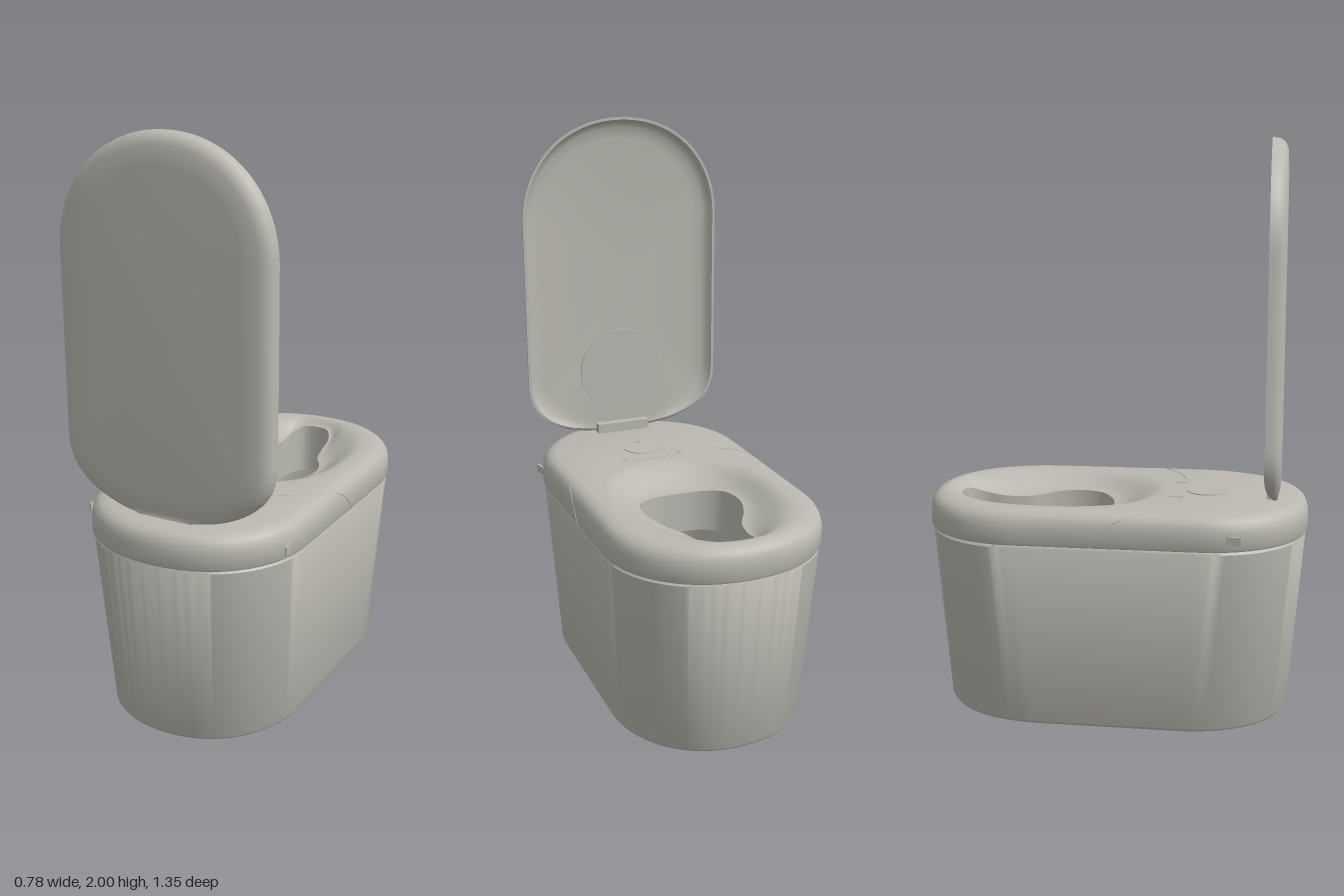
import * as THREE from 'three';
import { toCreasedNormals } from 'three/addons/utils/BufferGeometryUtils.js';

const N = 240;
const V = (x, y, z) => new THREE.Vector3(x, y, z);

// Superelliptical unit circle, N points
const unitRing = (n) => Array.from({ length: N }, (_, i) => {
  const t = ((i + 0.5) / N) * Math.PI * 2, c = Math.cos(t), s = Math.sin(t);
  return [Math.sign(c) * Math.abs(c) ** (2 / n), Math.sign(s) * Math.abs(s) ** (2 / n)];
});

// Body outline: straight sides with rounded ends
const bodyRing = (y, halfWidth, halfLength) => unitRing(2.15).map(([c, s]) =>
  V(c * halfWidth, y, s * 0.37 + Math.sign(s) * (halfLength - 0.37)));

const point = (x, y, z) => Array.from({ length: N }, () => V(x, y, z));

// Skin a list of equal-length closed rings
function loft(rings) {
  const pos = [], index = [];
  rings.forEach((r) => r.forEach((p) => pos.push(p.x, p.y, p.z)));
  for (let i = 0; i < rings.length - 1; i++) {
    for (let j = 0; j < N; j++) {
      const k = (j + 1) % N;
      const a = i * N + j, b = i * N + k, c = a + N, d = b + N;
      index.push(a, c, b, b, c, d);
    }
  }
  const g = new THREE.BufferGeometry();
  g.setAttribute('position', new THREE.Float32BufferAttribute(pos, 3));
  g.setIndex(index);
  return toCreasedNormals(g, 0.7);
}

// Where a ray from (0, cz) toward (dx, dz) meets a ring
function rayHit(ring, cz, dx, dz) {
  for (let i = 0; i < ring.length; i++) {
    const p = ring[i], q = ring[(i + 1) % ring.length];
    const s = dx * (p.z - cz) - dz * p.x, t = dx * (q.z - cz) - dz * q.x;
    if (s <= 0 && t > 0) {
      const hit = p.clone().lerp(q, -s / (t - s));
      if (hit.x * dx + (hit.z - cz) * dz > 0) return hit;
    }
  }
  return ring[0].clone();
}

// Seat and deck: rounded outer edge, flat deck, dished seat and keyhole opening
function seatGeometry() {
  const top = 0.77, cz = -0.22;
  const half = [[0.05, -0.565], [0.078, -0.52], [0.088, -0.44], [0.11, -0.35],
    [0.155, -0.27], [0.18, -0.18], [0.16, -0.08], [0.09, -0.032]];
  const path = [[0, -0.575], ...half, [0, -0.022], ...half.slice().reverse().map(([x, z]) => [-x, z])];
  const hole = new THREE.CatmullRomCurve3(path.map(([x, z]) => V(x, top, z)), true)
    .getSpacedPoints(N).slice(0, N);
  const match = (ring) => hole.map((h) => rayHit(ring, cz, h.x, h.z - cz));

  const edge = [[0.65, 0.02], [0.652, 0.004], [0.66, 0], [0.715, 0], [0.735, 0.004],
    [0.752, 0.012], [0.763, 0.025], [top, 0.048]];
  const rings = edge.map(([y, inset]) => match(bodyRing(y, 0.386 - inset, 0.677 - inset)));

  const rim = match(unitRing(2.3).map(([c, s]) => V(c * 0.3, top, -0.225 + s * 0.395)));
  for (let k = 0; k <= 10; k++) {
    const u = 1 - k / 10;
    rings.push(hole.map((h, j) => {
      const p = h.clone().lerp(rim[j], u);
      const depth = 0.075 * Math.tanh(h.distanceTo(rim[j]) / 0.12);
      p.y = top - depth * 0.5 * (1 + Math.cos(Math.PI * u));
      return p;
    }));
  }
  rings.push(hole.map((h) => V(h.x, 0.55, h.z)));
  return loft(rings);
}

// Lid: shallow shell whose rim tapers away at the hinge end
function lidGeometry() {
  const ring = ([inset, z]) => {
    const upper = unitRing(2.1), lower = unitRing(2.5);
    return upper.map((u, i) => {
      const isTop = u[1] > 0, [c, s] = isTop ? u : lower[i];
      const y = isTop ? 1.62 + s * (0.38 - inset) : 1.02 + s * (0.25 - inset);
      const k = Math.max(0, (0.9 - y) / 0.13) ** 2;
      return V(c * (0.387 - inset), y, z < 0.572 ? z + (0.572 - z) * Math.min(1, k) : z);
    });
  };
  const outside = [[0.1, 0.58], [0.04, 0.577], [0.015, 0.566], [0.005, 0.55], [0, 0.523]];
  const inside = [[0.01, 0.523], [0.02, 0.545], [0.04, 0.557], [0.08, 0.562]];
  return loft([point(0, 1.35, 0.58), ...outside.map(ring), ...inside.map(ring), point(0, 1.35, 0.562)]);
}

export function createModel() {
  const group = new THREE.Group();
  const grey = new THREE.MeshStandardMaterial({ color: 0xbab8b0 });
  grey.name = 'warm grey';
  const add = (name, geometry, x = 0, y = 0, z = 0) => {
    const mesh = new THREE.Mesh(geometry, grey);
    mesh.name = name;
    mesh.position.set(x, y, z);
    group.add(mesh);
    return mesh;
  };

  // Tapered hollow base with an inner floor
  add('base', loft([
    point(0, 0, 0),
    ...[[0, 0.333, 0.605], [0.004, 0.34, 0.613], [0.014, 0.345, 0.619], [0.642, 0.383, 0.67],
      [0.65, 0.378, 0.665], [0.65, 0.36, 0.645], [0.05, 0.32, 0.59]].map((r) => bodyRing(...r)),
    point(0, 0.05, 0),
  ]));
  add('seat', seatGeometry());
  add('lid', lidGeometry());

  // Lid disc and hinge
  add('lidDisc', new THREE.CylinderGeometry(0.165, 0.165, 0.008, 64), 0, 1.02, 0.56).rotation.x = Math.PI / 2;
  add('hinge', new THREE.BoxGeometry(0.21, 0.045, 0.04), 0, 0.785, 0.55);

  // Round deck button with a small mark of three bars
  add('button', new THREE.CylinderGeometry(0.075, 0.075, 0.006, 64), 0, 0.77, 0.32);
  for (let i = -1; i <= 1; i++) {
    add('buttonMark', new THREE.BoxGeometry(0.022, 0.002, 0.004), 0, 0.7735, 0.372 + i * 0.008);
  }

  // Seam between seat and deck, and side tabs
  add('seamNotch', new THREE.BoxGeometry(0.22, 0.004, 0.004), 0, 0.77, 0.19);
  for (const s of [1, -1]) {
    const seam = [[0.11, 0.77, 0.24], [0.19, 0.77, 0.228], [0.28, 0.77, 0.19], [0.338, 0.769, 0.135],
      [0.367, 0.757, 0.075], [0.382, 0.735, 0.025], [0.386, 0.7, -0.02], [0.386, 0.658, -0.05]];
    const curve = new THREE.CatmullRomCurve3(seam.map(([x, y, z]) => V(s * x, y, z)));
    add('seatSeam', new THREE.TubeGeometry(curve, 48, 0.002, 6));
    add('seamNotchSide', new THREE.BoxGeometry(0.004, 0.004, 0.05), s * 0.11, 0.77, 0.215);
    add('sideTab', new THREE.BoxGeometry(0.008, 0.03, 0.06), s * 0.376, 0.692, 0.425).rotation.y = s * 0.2;
  }
  return group;
}
